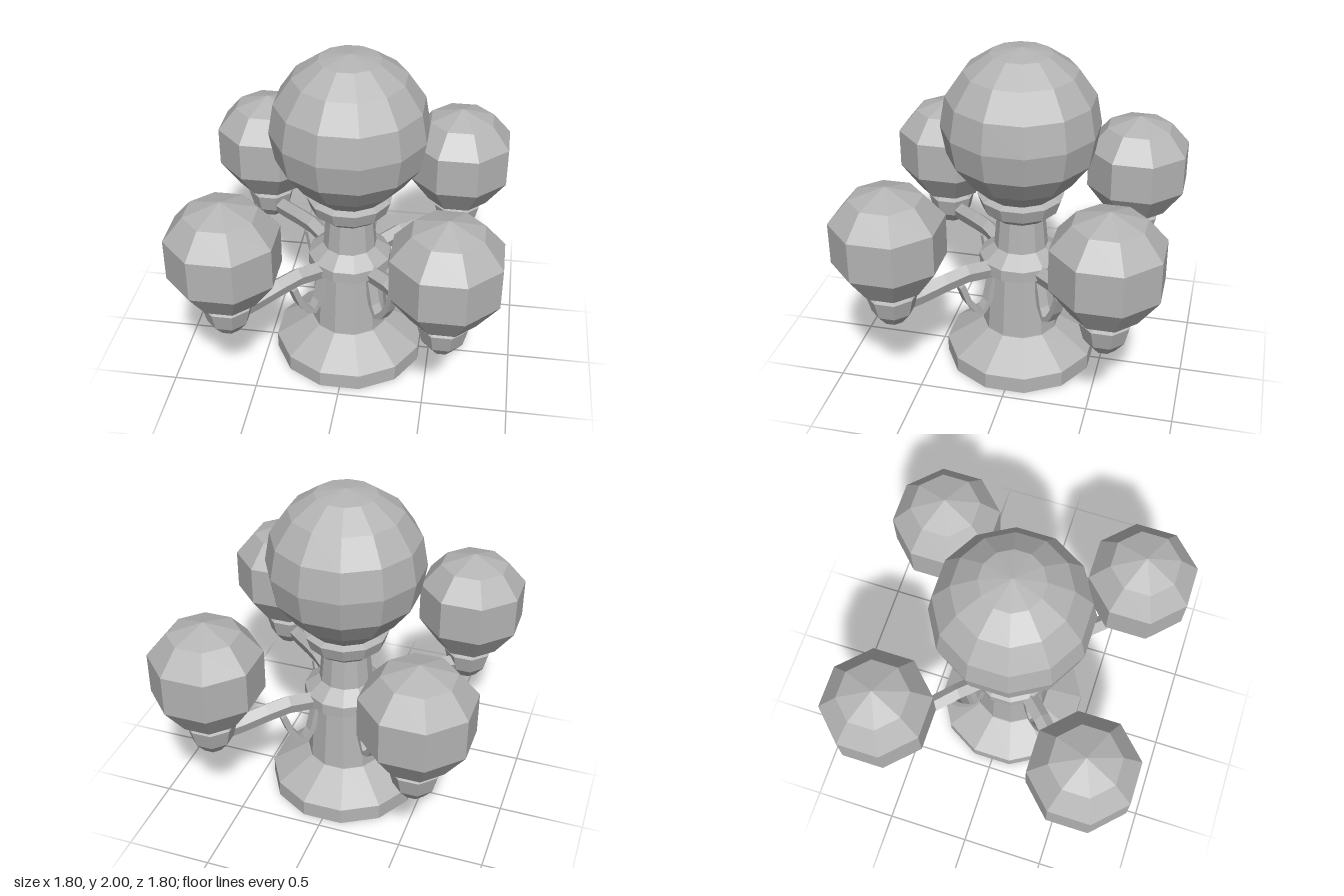
import * as THREE from 'three';

const stone = new THREE.MeshStandardMaterial({ color: 0xb4b4b4 });
stone.name = 'plain grey';

// Faceted mesh with one normal per face
function facet(geometry, name) {
  const g = geometry.index ? geometry.toNonIndexed() : geometry;
  g.computeVertexNormals();
  const mesh = new THREE.Mesh(g, stone);
  mesh.name = name;
  return mesh;
}

// Turned part: profile gives [distance to flat side, height], bottom to top
function turned(profile, sides, name) {
  const half = Math.PI / sides;
  const points = profile.map(([r, y]) => new THREE.Vector2(r / Math.cos(half), y));
  return facet(new THREE.LatheGeometry(points, sides, half), name);
}

// Sweep a section [normal, sideways] along a path [x, y] in the XY plane
function sweep(path, section, name) {
  const n = section.length, last = (path.length - 1) * n;
  const pos = [], idx = [];
  path.forEach(([x, y], i) => {
    const p = path[Math.max(i - 1, 0)], q = path[Math.min(i + 1, path.length - 1)];
    const len = Math.hypot(q[0] - p[0], q[1] - p[1]);
    const tx = (q[0] - p[0]) / len, ty = (q[1] - p[1]) / len;
    for (const [a, b] of section) pos.push(x - ty * a, y + tx * a, b);
  });
  for (let i = 0; i < last; i += n) {
    for (let j = 0; j < n; j++) {
      const k = (j + 1) % n;
      idx.push(i + j, i + k, i + n + k, i + j, i + n + k, i + n + j);
    }
  }
  for (let j = 1; j < n - 1; j++) {
    idx.push(0, j + 1, j, last, last + j, last + j + 1);
  }
  const g = new THREE.BufferGeometry();
  g.setAttribute('position', new THREE.Float32BufferAttribute(pos, 3));
  g.setIndex(idx);
  return facet(g, name);
}

export function createModel() {
  const model = new THREE.Group();
  model.name = 'fiveGlobeLamp';

  // Pedestal, column, middle ring and collar
  model.add(turned([[0, 0], [0.44, 0], [0.44, 0.1], [0.23, 0.24], [0, 0.24]], 12, 'base'));
  model.add(turned([[0.225, 0.23], [0.2, 0.62]], 12, 'lowerColumn'));
  model.add(turned([[0.18, 0.6], [0.24, 0.64], [0.24, 0.71], [0.155, 0.78]], 12, 'armRing'));
  model.add(turned([[0.155, 0.77], [0.135, 1.0]], 12, 'upperColumn'));
  model.add(turned([[0, 0.99], [0.175, 0.99], [0.22, 1.03], [0.245, 1.11], [0.2, 1.13], [0, 1.13]], 12, 'collar'));

  // Large top globe
  model.add(turned([[0, 1.12], [0.2, 1.12], [0.31, 1.23], [0.41, 1.37], [0.44, 1.545],
    [0.41, 1.72], [0.31, 1.87], [0.17, 1.97], [0, 2]], 12, 'mainGlobe'));

  // Four diagonal branches
  const armSection = [[0.055, 0], [0.015, 0.05], [-0.05, 0.03], [-0.05, -0.03], [0.015, -0.05]];
  const strip = [[0.018, -0.03], [0.018, 0.03], [-0.018, 0.03], [-0.018, -0.03]];
  for (let k = 0; k < 4; k++) {
    const angle = Math.PI / 4 + k * Math.PI / 2;
    const branch = new THREE.Group();
    branch.name = 'branch' + (k + 1);
    branch.rotation.y = angle;
    branch.add(sweep([[0.18, 0.66], [0.38, 0.685], [0.52, 0.67], [0.68, 0.645], [0.8, 0.635]],
      armSection, 'arm'));
    branch.add(sweep([[0.42, 0.615], [0.38, 0.5], [0.33, 0.42], [0.28, 0.39], [0.24, 0.45], [0.2, 0.61]],
      strip, 'hook'));
    model.add(branch);

    // Cup and small globe stay square to the axes
    const lamp = new THREE.Group();
    lamp.name = 'lamp' + (k + 1);
    lamp.position.set(0.605 * Math.sign(Math.cos(angle)), 0, 0.605 * Math.sign(Math.sin(angle)));
    lamp.add(turned([[0, 0.54], [0.06, 0.54], [0.112, 0.61], [0.138, 0.72], [0.1, 0.74], [0, 0.74]], 8, 'cup'));
    lamp.add(turned([[0, 0.73], [0.1, 0.73], [0.18, 0.775], [0.295, 0.95], [0.295, 1.19],
      [0.188, 1.325], [0, 1.39]], 8, 'smallGlobe'));
    model.add(lamp);
  }
  return model;
}
